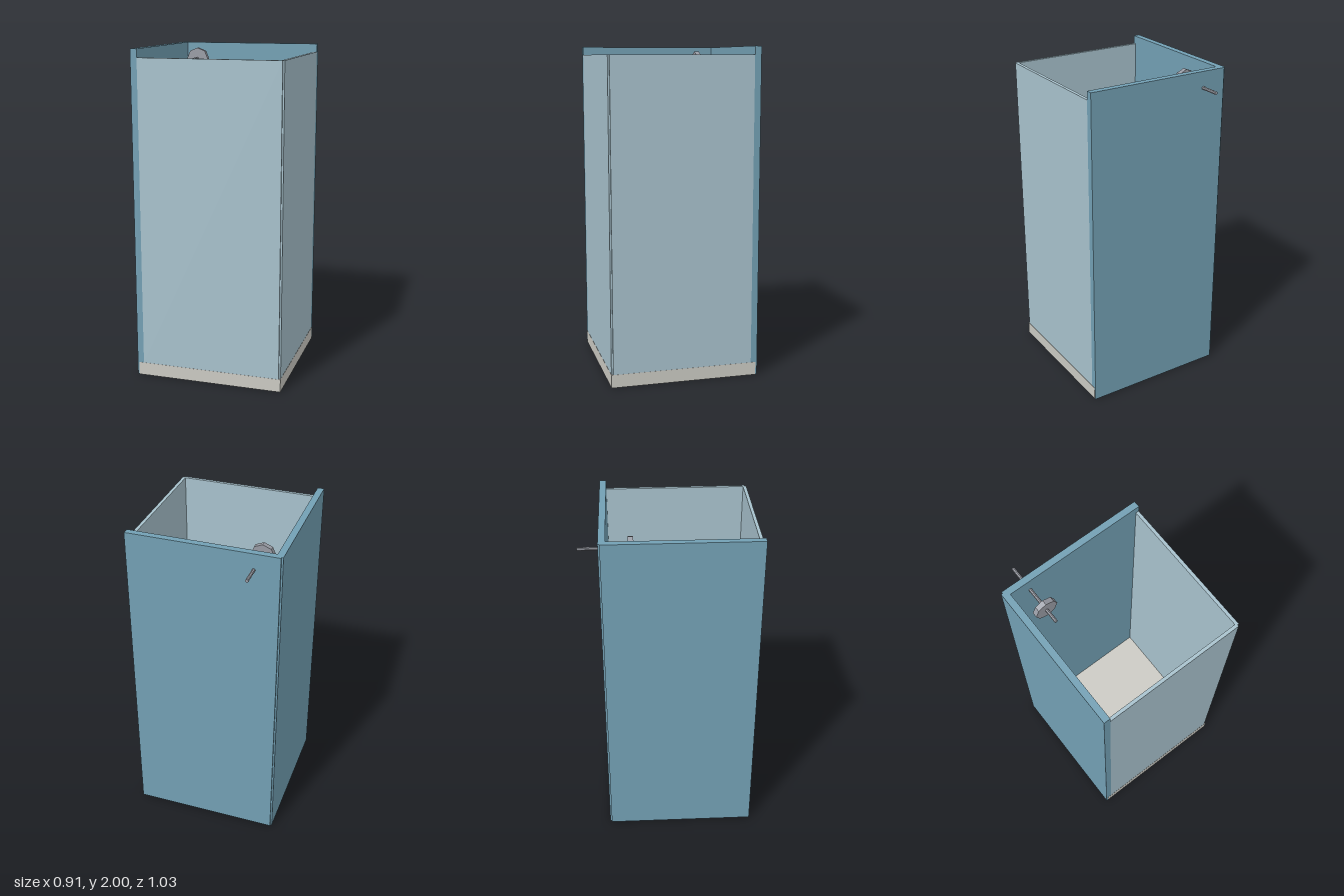
import * as THREE from 'three';

const flat = (name, color) => {
  const m = new THREE.MeshStandardMaterial({ color });
  m.name = name;
  return m;
};

export function createModel() {
  const group = new THREE.Group();
  const wall = flat('blueWall', 0x73a0b4);
  const glass = flat('paleGlass', 0xa8c2cd);
  const tray = flat('trayGrey', 0xcbcac3);
  const metal = flat('metal', 0x989ba4);
  metal.flatShading = true;

  // Box given by its lower and upper corners
  const slab = (name, mat, [x0, y0, z0], [x1, y1, z1]) => {
    const mesh = new THREE.Mesh(new THREE.BoxGeometry(x1 - x0, y1 - y0, z1 - z0), mat);
    mesh.position.set((x0 + x1) / 2, (y0 + y1) / 2, (z0 + z1) / 2);
    mesh.name = name;
    group.add(mesh);
  };

  // Floor tray, a hair proud of the walls where their faces would coincide
  slab('tray', tray, [-0.445, 0, -0.385], [0.456, 0.08, 0.516]);

  // Solid walls, offset from each other so the outer corner is notched
  slab('backWall', wall, [-0.445, 0.001, -0.395], [0.455, 2, -0.355]);
  slab('sideWall', wall, [-0.455, 0.001, -0.385], [-0.415, 2, 0.515]);

  // Glass panels standing on the tray
  slab('frontPanel', glass, [-0.415, 0.08, 0.495], [0.445, 1.95, 0.515]);
  slab('sidePanel', glass, [0.435, 0.08, -0.355], [0.455, 1.95, 0.505]);

  // Octagonal rod and disc on one horizontal axis
  const barrel = (name, radius, z0, z1) => {
    const mesh = new THREE.Mesh(new THREE.CylinderGeometry(radius, radius, z1 - z0, 8), metal);
    mesh.rotation.x = Math.PI / 2;
    mesh.position.set(-0.296, 1.902, (z0 + z1) / 2);
    mesh.name = name;
    group.add(mesh);
  };
  barrel('pipe', 0.01, -0.516, -0.116);
  barrel('valveDisc', 0.07, -0.233, -0.202);

  return group;
}
